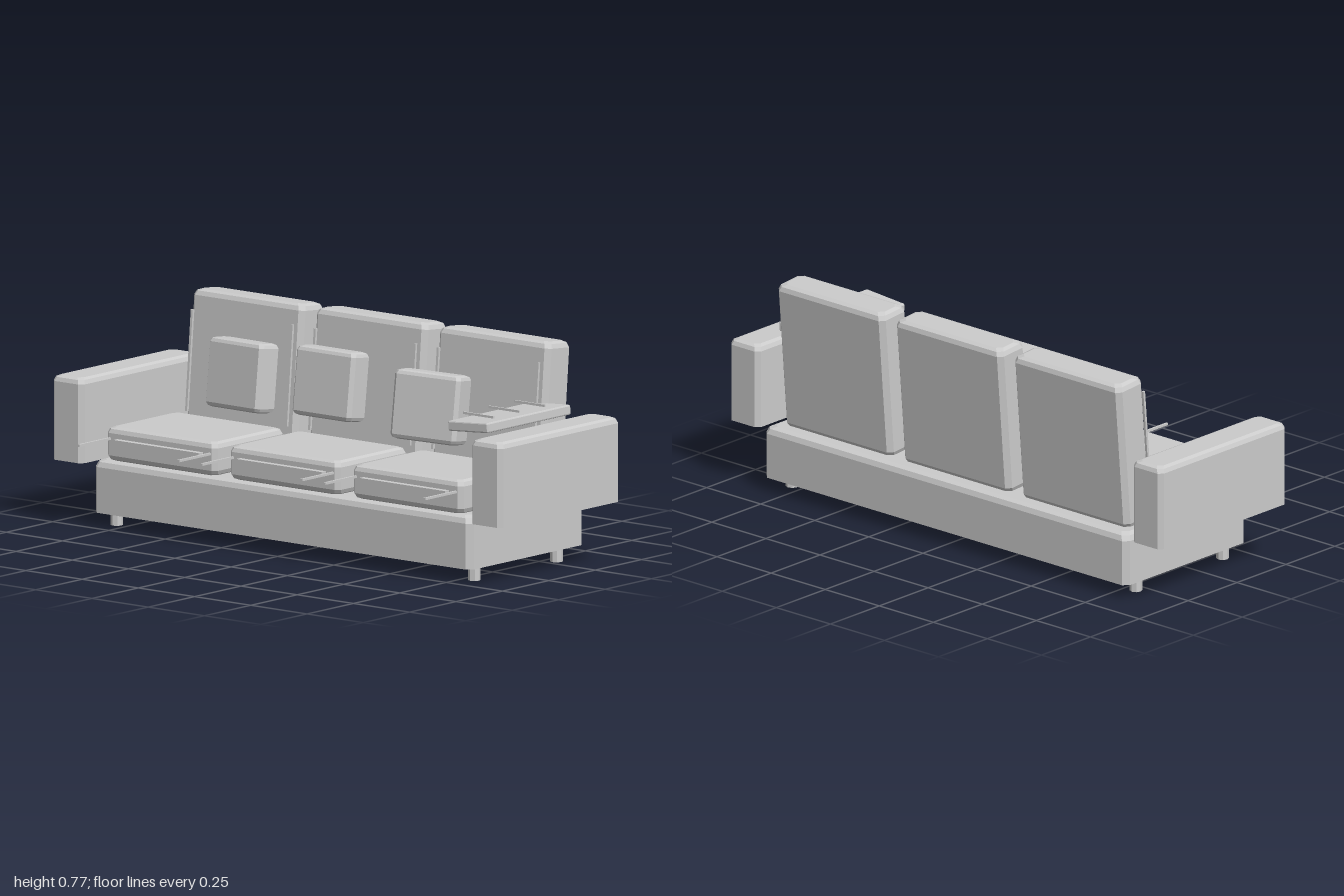
import * as THREE from 'three';

const fabric = new THREE.MeshStandardMaterial({ color: 0xcccccc, flatShading: true, side: THREE.DoubleSide });

// Box with chamfered edges, centred in x and z, standing on y = 0; the bottom may be left open
function softBox(w, h, d, c, open = false) {
  const ring = (inset, y) => {
    const a = w / 2 - inset, b = d / 2 - inset, k = c * 0.8;
    return [[a, b - k], [a - k, b], [k - a, b], [-a, b - k], [-a, k - b], [k - a, -b], [a - k, -b], [a, k - b]]
      .map(([x, z]) => [x, y, z]);
  };
  const rings = [ring(0, open ? 0 : c), ring(0, h - c), ring(c * 0.3, h - c * 0.3), ring(c, h)];
  if (!open) rings.unshift(ring(c, 0), ring(c * 0.3, c * 0.3));
  const pos = [], tri = (...p) => p.forEach((v) => pos.push(...v));
  for (let r = 0; r + 1 < rings.length; r++) {
    for (let i = 0; i < 8; i++) {
      const j = (i + 1) % 8, A = rings[r], B = rings[r + 1];
      tri(A[i], B[j], A[j]);
      tri(A[i], B[i], B[j]);
    }
  }
  const top = rings[rings.length - 1], bottom = rings[0];
  for (let i = 1; i < 7; i++) {
    tri(top[0], top[i + 1], top[i]);
    if (!open) tri(bottom[0], bottom[i], bottom[i + 1]);
  }
  // the sides run clockwise seen from outside, so swap two corners of every triangle
  for (let i = 0; i < pos.length; i += 9) {
    for (let k = 0; k < 3; k++) [pos[i + 3 + k], pos[i + 6 + k]] = [pos[i + 6 + k], pos[i + 3 + k]];
  }
  const g = new THREE.BufferGeometry();
  g.setAttribute('position', new THREE.Float32BufferAttribute(pos, 3));
  g.computeVertexNormals();
  return g;
}

export function createModel() {
  const model = new THREE.Group();
  model.name = 'sofa';

  const add = (name, geometry, x, y, z, rx = 0, ry = 0, rz = 0) => {
    const mesh = new THREE.Mesh(geometry, fabric);
    mesh.name = name;
    mesh.position.set(x, y, z);
    mesh.rotation.set(rx, ry, rz, 'YXZ');
    model.add(mesh);
    return mesh;
  };
  // Thin square bar between two points in a plane of constant x
  const bar = (name, x, y0, z0, y1, z1, t) => {
    const length = Math.hypot(y1 - y0, z1 - z0);
    add(name, new THREE.BoxGeometry(t, length, t), x, (y0 + y1) / 2, (z0 + z1) / 2, Math.atan2(z1 - z0, y1 - y0));
  };

  // Hollow base, and legs reaching up into it
  add('base', softBox(1.68, 0.185, 0.62, 0.025, true), 0, 0.05, -0.08);
  for (const x of [-0.795, 0.795]) {
    for (const z of [0.153, -0.29]) {
      add('leg', new THREE.CylinderGeometry(0.022, 0.022, 0.1, 8), x, 0.05, z);
    }
  }

  // Hollow arm rests
  for (const s of [-1, 1]) {
    add(s > 0 ? 'leftArm' : 'rightArm', softBox(0.138, 0.295, 0.65, 0.02, true), s * 0.931, 0.22, -0.065);
  }

  // Three places, each with seat, back and trim
  for (const x of [-0.547, 0, 0.547]) {
    add('seatCushion', softBox(0.49, 0.118, 0.38, 0.02), x, 0.235, 0.03);
    add('backCushion', softBox(0.495, 0.535, 0.13, 0.022), x, 0.23, -0.268, -0.085);
    add('seatTrim', new THREE.BoxGeometry(0.38, 0.008, 0.03), x, 0.312, 0.227);
    for (const s of [-1, 1]) {
      bar('seatRod', x + s * 0.222, 0.314, 0.15, 0.314, 0.39, 0.008);
      bar('backRod', x + s * 0.222, 0.35, -0.193, 0.7, -0.224, 0.009);
    }
  }

  // Throw pillows: x, bottom y, z, turn and roll
  const pillows = [
    [-0.443, 0.41, -0.083, -0.1, 0.02],
    [-0.043, 0.43, -0.075, 0, 0],
    [0.395, 0.4, -0.083, 0.16, -0.02],
  ];
  for (const [x, y, z, turn, roll] of pillows) {
    add('pillow', softBox(0.262, 0.24, 0.095, 0.016), x, y, z, -0.12, turn, roll);
  }

  // Tilted tray beside the left arm, with slats across it
  add('tray', softBox(0.178, 0.035, 0.45, 0.005), 0.806, 0.524, -0.024, 0, 0, 0.07);
  for (const z of [-0.167, -0.03, 0.108]) {
    add('traySlat', new THREE.BoxGeometry(0.135, 0.008, 0.006), 0.777, 0.567, z);
  }
  return model;
}
